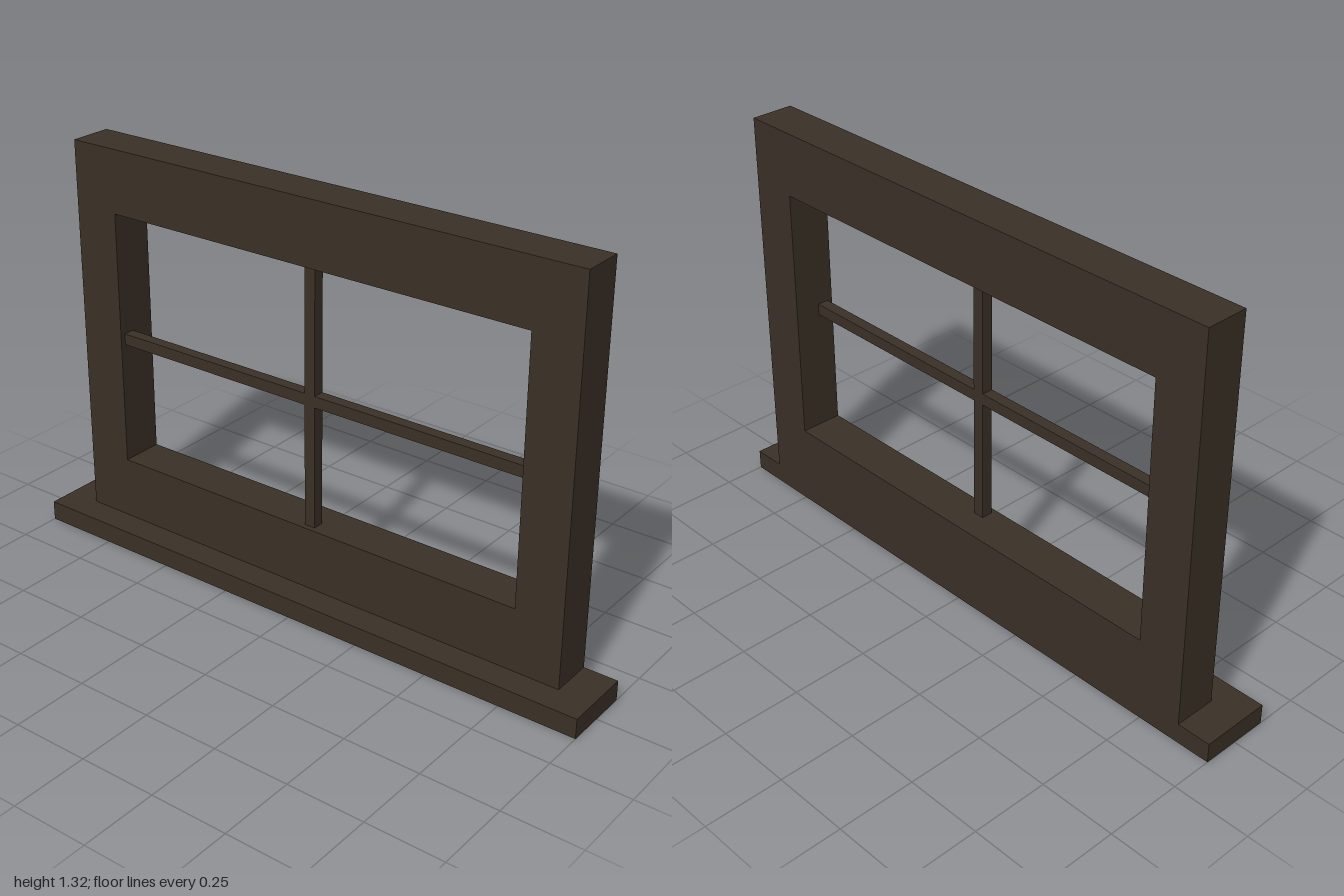
import * as THREE from 'three';

export function createModel() {
  const model = new THREE.Group();
  model.name = 'window';
  const darkWood = new THREE.MeshStandardMaterial({ color: 0x3a3026 });
  darkWood.name = 'darkWood';

  function add(name, geometry, x, y, z) {
    const mesh = new THREE.Mesh(geometry, darkWood);
    mesh.name = name;
    mesh.position.set(x, y, z);
    model.add(mesh);
  }

  const sillHeight = 0.065, top = 1.315;
  const halfWidth = 0.89, back = -0.115, frameDepth = 0.14;
  const openX = 0.735, openBottom = 0.27, openTop = 1.11;

  // Sill, projecting to the front and sides
  add('sill', new THREE.BoxGeometry(2, sillHeight, 0.23), 0, sillHeight / 2, 0);

  // Frame with one rectangular opening
  const outline = new THREE.Shape([
    new THREE.Vector2(-halfWidth, sillHeight), new THREE.Vector2(halfWidth, sillHeight),
    new THREE.Vector2(halfWidth, top), new THREE.Vector2(-halfWidth, top),
  ]);
  outline.holes.push(new THREE.Path([
    new THREE.Vector2(-openX, openBottom), new THREE.Vector2(-openX, openTop),
    new THREE.Vector2(openX, openTop), new THREE.Vector2(openX, openBottom),
  ]));
  add('frame', new THREE.ExtrudeGeometry(outline, { depth: frameDepth, bevelEnabled: false }), 0, 0, back);

  // Crossed glazing bars
  const bar = 0.037, barY = (openBottom + openTop) / 2, barZ = -0.011;
  add('horizontalBar', new THREE.BoxGeometry(openX * 2, bar, bar), 0, barY, barZ);
  add('verticalBar', new THREE.BoxGeometry(bar, openTop - openBottom, bar), 0, barY, barZ);

  return model;
}
